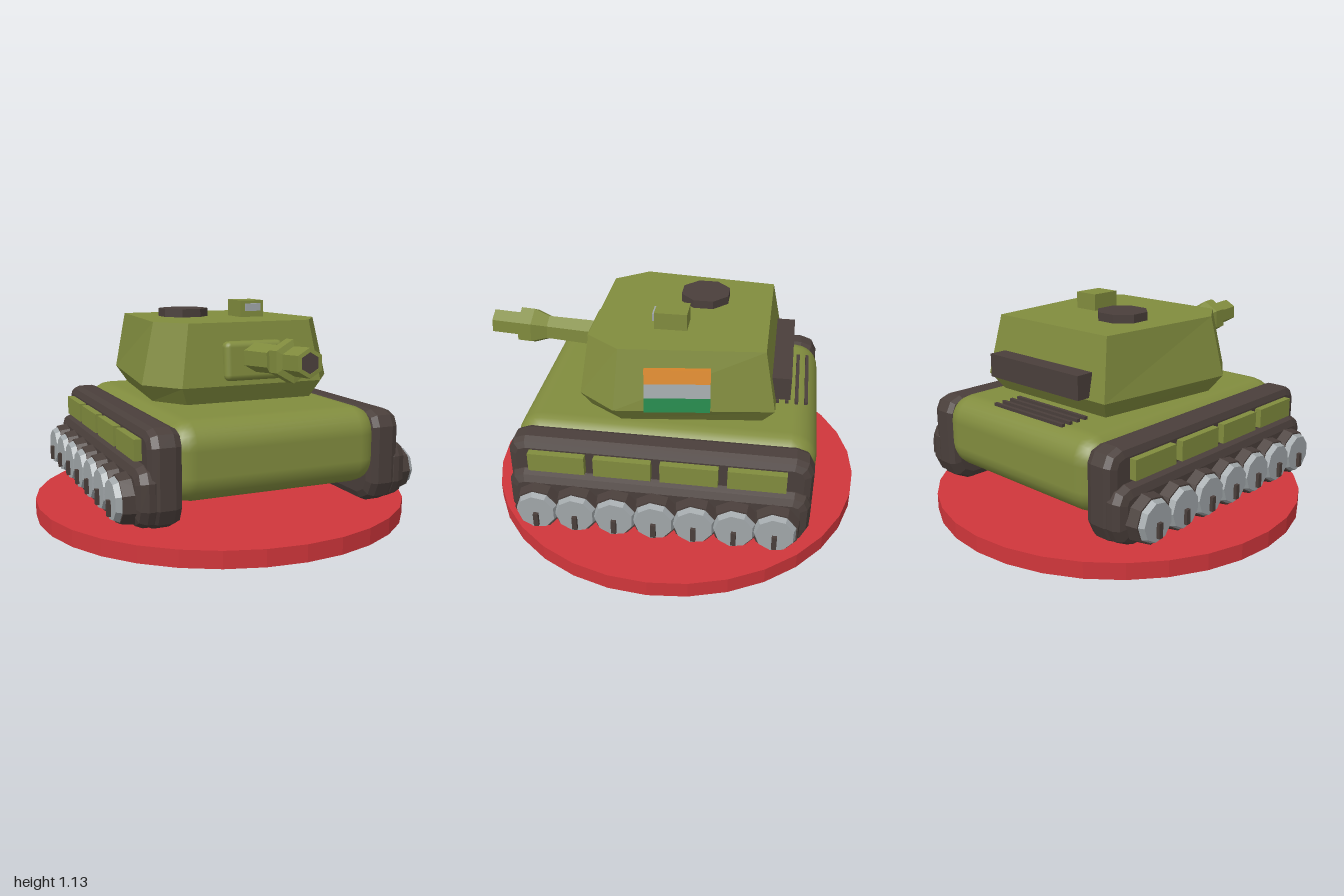
import * as THREE from 'three';
import { RoundedBoxGeometry } from 'three/addons/geometries/RoundedBoxGeometry.js';

const mat = (name, color, flatShading = true) => {
  const m = new THREE.MeshStandardMaterial({ color, flatShading });
  m.name = name;
  return m;
};

// Faceted solid from equal-length rings stacked from bottom to top
function loft(rings) {
  const v = [];
  const tri = (a, b, c) => v.push(...a, ...b, ...c);
  const n = rings[0].length;
  for (let r = 0; r < rings.length - 1; r++) {
    for (let i = 0; i < n; i++) {
      const j = (i + 1) % n, lo = rings[r], hi = rings[r + 1];
      tri(lo[i], lo[j], hi[j]);
      tri(lo[i], hi[j], hi[i]);
    }
  }
  const bottom = rings[0], top = rings[rings.length - 1];
  for (let i = 1; i < n - 1; i++) {
    tri(top[0], top[i], top[i + 1]);
    tri(bottom[0], bottom[i + 1], bottom[i]);
  }
  const g = new THREE.BufferGeometry();
  g.setAttribute('position', new THREE.Float32BufferAttribute(v, 3));
  g.computeVertexNormals();
  return g;
}

// Bevelled slab with cut corners, its thin direction along x
function trackSlab(halfLength, y0, y1, cut, width, bevel) {
  const h = halfLength;
  const pts = [
    [-h + cut, y0], [h - cut, y0], [h - cut * 0.3, y0 + cut * 0.35], [h, y0 + cut],
    [h, y1 - cut * 0.7], [h - cut * 0.25, y1 - cut * 0.2], [h - cut * 0.8, y1],
    [-h + cut * 0.8, y1], [-h + cut * 0.25, y1 - cut * 0.2], [-h, y1 - cut * 0.7],
    [-h, y0 + cut], [-h + cut * 0.3, y0 + cut * 0.35],
  ].map(([x, y]) => new THREE.Vector2(x, y));
  const depth = width - 2 * bevel;
  return new THREE.ExtrudeGeometry(new THREE.Shape(pts), {
    depth, bevelThickness: bevel, bevelSize: bevel, bevelOffset: -bevel, bevelSegments: 2,
  }).translate(0, 0, -depth / 2).rotateY(Math.PI / 2);
}

export function createModel() {
  const model = new THREE.Group();
  model.name = 'toyTank';
  const green = mat('olive green', 0x818c3e);
  green.flatShading = false; // box and lofted parts carry their own normals
  const dark = mat('dark brown', 0x4a3f3b);
  const grey = mat('light grey', 0xa1a7aa);
  const red = mat('base red', 0xd0363b);
  const orange = mat('flag orange', 0xdd8a2e);
  const flagGreen = mat('flag green', 0x21874a);

  const add = (name, geometry, material, x = 0, y = 0, z = 0, parent = model) => {
    const m = new THREE.Mesh(geometry, material);
    m.name = name;
    m.position.set(x, y, z);
    parent.add(m);
    return m;
  };
  const box = (w, h, d) => new THREE.BoxGeometry(w, h, d);
  const faceted = (g) => {
    const f = g.toNonIndexed();
    f.computeVertexNormals();
    return f;
  };

  // Display base and hull
  add('base', new THREE.CylinderGeometry(1, 1, 0.085, 32), red, 0, 0.0425, 0);
  add('hull', new RoundedBoxGeometry(1.12, 0.385, 1.52, 3, 0.13), green, 0, 0.432, -0.005);

  // Running gear on both sides
  const tyre = new THREE.CylinderGeometry(0.115, 0.135, 0.13, 9).rotateZ(-Math.PI / 2);
  const disc = new THREE.CylinderGeometry(0.095, 0.108, 0.03, 9).rotateZ(-Math.PI / 2);
  for (const s of [1, -1]) {
    const side = new THREE.Group();
    side.name = s > 0 ? 'leftTrack' : 'rightTrack';
    model.add(side);
    add('trackBelt', trackSlab(0.755, 0.13, 0.605, 0.11, 0.165, 0.045), dark, s * 0.573, 0, 0, side);
    add('trackGuard', trackSlab(0.75, 0.14, 0.44, 0.1, 0.13, 0.05), dark, s * 0.645, 0, 0, side);
    for (let i = -3; i <= 3; i++) {
      const wheel = new THREE.Group();
      wheel.name = 'roadWheel';
      wheel.position.set(s * 0.7, 0.272, i * 0.196);
      if (s < 0) wheel.rotation.y = Math.PI;
      side.add(wheel);
      add('tyre', tyre, dark, 0, 0, 0, wheel);
      add('wheelDisc', disc, grey, 0.078, 0, 0, wheel);
      add('wheelHub', box(0.03, 0.075, 0.025), dark, 0.095, -0.037, 0, wheel);
    }
    for (let i = 0; i < 4; i++) {
      add('sidePlate', box(0.06, 0.1, 0.283), green, s * 0.662, 0.502, 0.498 - i * 0.328, side);
    }
  }

  // Turret shell: six-sided rings, widest just above the bottom
  const ring = (y, half) => [
    ...half.map(([x, z]) => [x, y, z]),
    ...[...half].reverse().map(([x, z]) => [-x, y, z]),
  ];
  add('turret', loft([
    ring(0.642, [[0.34, 0.39], [0.455, 0.21], [0.37, -0.485]]),
    ring(0.73, [[0.38, 0.435], [0.52, 0.24], [0.42, -0.545]]),
    ring(1.038, [[0.33, 0.39], [0.45, 0.22], [0.38, -0.485]]),
  ]), green);

  // Roof fittings
  add('hatch', new THREE.CylinderGeometry(0.133, 0.133, 0.05, 8).rotateY(Math.PI / 8), dark, -0.155, 1.056, -0.135);
  add('sight', box(0.135, 0.095, 0.165), green, 0.157, 1.078, -0.002);
  add('sightWindow', box(0.085, 0.04, 0.015), grey, 0.16, 1.09, 0.086);

  // Rear stowage box and engine grille
  add('rearBox', box(0.635, 0.12, 0.1), dark, 0, 0.802, -0.565);
  for (let i = 0; i < 4; i++) {
    add('grilleBar', box(0.49, 0.016, 0.018), dark, -0.06, 0.641, -0.552 - i * 0.049);
  }

  // Gun, slightly raised
  const mantlet = add('mantlet', new RoundedBoxGeometry(0.32, 0.195, 0.075, 2, 0.03), green, 0, 0.85, 0.418);
  mantlet.rotation.x = -0.06;
  const gun = new THREE.Group();
  gun.name = 'gun';
  gun.position.set(0, 0.865, 0.4);
  gun.rotation.x = -0.06;
  model.add(gun);
  const profile = [
    [0, 0], [0.074, 0], [0.068, 0.29], [0.1, 0.37], [0.1, 0.44], [0.068, 0.445],
    [0.068, 0.588], [0.048, 0.59], [0.046, 0.57],
  ].map(([r, y]) => new THREE.Vector2(r, y));
  const barrel = new THREE.LatheGeometry(profile, 6).rotateX(Math.PI / 2);
  add('barrel', faceted(barrel), green, 0, 0, 0, gun);
  add('bore', new THREE.CylinderGeometry(0.048, 0.048, 0.02, 6).rotateX(Math.PI / 2), dark, 0, 0, 0.578, gun);

  // Striped flag plate lying along the left turret wall
  const flag = new THREE.Group();
  flag.name = 'flag';
  flag.position.set(0.487, 0.855, -0.073);
  flag.rotation.set(0, 0.128, 0.2, 'YZX');
  model.add(flag);
  [flagGreen, grey, orange].forEach((m, i) => {
    add('flagStripe', box(0.03, 0.072, 0.32), m, 0, (i - 1) * 0.072, 0, flag);
  });

  return model;
}
